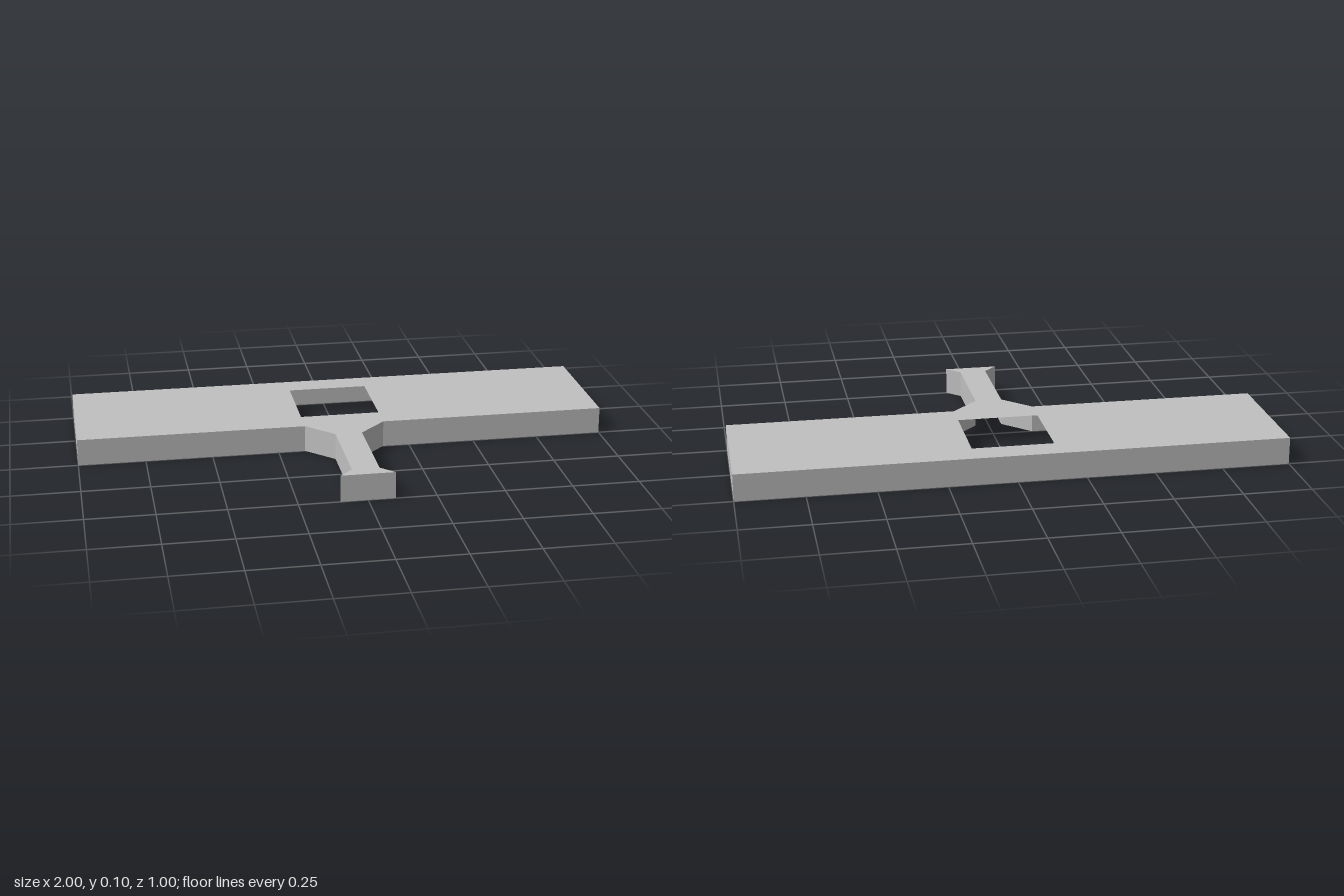
import * as THREE from 'three';

const HEIGHT = 0.1;

// Vertical sheet that follows a closed outline of [x, z] points
function wallGeometry(outline) {
  const pos = [];
  outline.forEach(([x0, z0], i) => {
    const [x1, z1] = outline[(i + 1) % outline.length];
    pos.push(x0, 0, z0, x1, 0, z1, x1, HEIGHT, z1);
    pos.push(x0, 0, z0, x1, HEIGHT, z1, x0, HEIGHT, z0);
  });
  const geo = new THREE.BufferGeometry();
  geo.setAttribute('position', new THREE.Float32BufferAttribute(pos, 3));
  geo.computeVertexNormals();
  return geo;
}

const mirrorX = (pts) => pts.map(([x, z]) => [-x, z]).reverse();
const toVectors = (pts) => pts.map(([x, z]) => new THREE.Vector2(x, -z));

export function createModel() {
  const group = new THREE.Group();
  const grey = new THREE.MeshStandardMaterial({ color: 0xc0c0c0, side: THREE.DoubleSide });
  grey.name = 'plain grey';

  const add = (name, geo) => {
    const mesh = new THREE.Mesh(geo, grey);
    mesh.name = name;
    group.add(mesh);
  };

  // Outline of the wide plate with its flared stem, counterclockwise from above
  const stemSide = [[0.1, 0.5], [0.05, 0.45], [0.05, 0.1], [0.15, 0], [1, 0], [1, -0.5]];
  const outline = [...stemSide, ...mirrorX(stemSide)];

  // Top skin with the square opening
  const top = new THREE.Shape(toVectors(outline));
  top.holes.push(new THREE.Path(toVectors([[-0.15, -0.4], [0.15, -0.4], [0.15, -0.1], [-0.15, -0.1]])));
  const topGeo = new THREE.ShapeGeometry(top);
  topGeo.rotateX(-Math.PI / 2);
  topGeo.translate(0, HEIGHT, 0);
  add('topPlate', topGeo);

  // Outer skirt
  add('outerWall', wallGeometry(outline));

  // Pocket walls under each wing, with a stepped keyhole slot let in from the end
  const slotSide = [[0.9, 0.025], [0.85, 0.025], [0.85, 0.05], [0.65, 0.05], [0.65, 0.025], [0.6, 0.025]];
  const slot = [
    ...slotSide.map(([x, d]) => [x, -0.25 + d]),
    ...slotSide.map(([x, d]) => [x, -0.25 - d]).reverse(),
  ];
  const pocket = [[0.25, -0.4], [0.25, -0.1], [0.9, -0.1], ...slot, [0.9, -0.4]];
  add('leftPocketWall', wallGeometry(pocket));
  add('rightPocketWall', wallGeometry(mirrorX(pocket)));

  return group;
}
